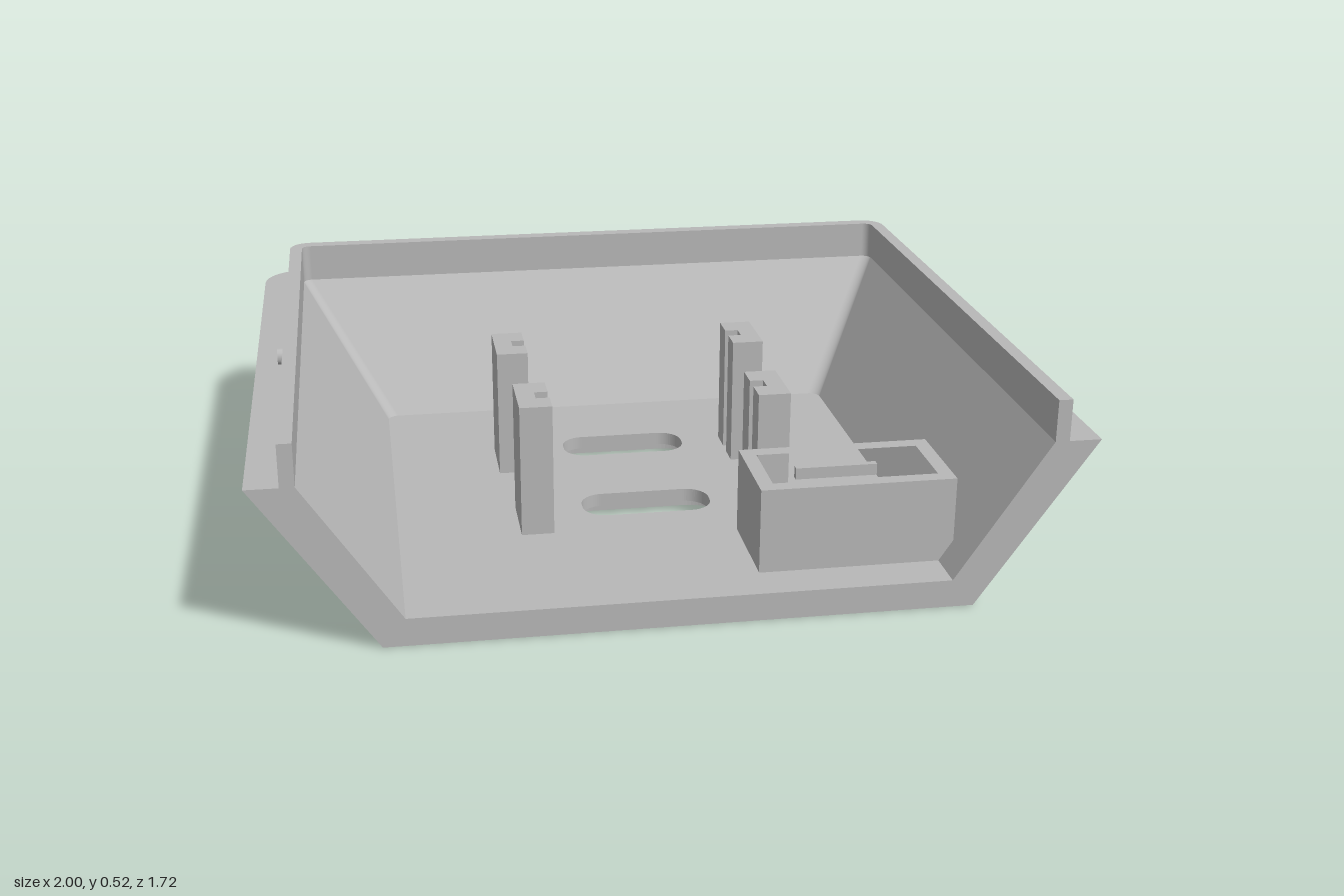
import * as THREE from 'three';

const FRONT = 0.86;
const grey = new THREE.MeshStandardMaterial({ color: 0xb8b8b8 });
grey.name = 'grey plastic';

// U-shaped plan outline, open to the front, with rounded back corners
function outline(w, back, r) {
  const half = [[w, FRONT]];
  for (let i = 0; i <= 8; i++) {
    const a = (i / 8) * Math.PI / 2;
    half.push([w - r + r * Math.cos(a), back + r - r * Math.sin(a)]);
  }
  return half.concat(half.slice().reverse().map(([x, z]) => [-x, z]));
}

// One smooth strip of wall between two outlines
function strip(a, b) {
  const la = outline(a.w, a.back, a.r), lb = outline(b.w, b.back, b.r);
  const pos = [], index = [];
  la.forEach(([x, z], i) => {
    pos.push(x, a.y, z, lb[i][0], b.y, lb[i][1]);
    if (i < la.length - 1) {
      const k = i * 2;
      index.push(k, k + 2, k + 1, k + 2, k + 3, k + 1);
    }
  });
  const g = new THREE.BufferGeometry();
  g.setAttribute('position', new THREE.Float32BufferAttribute(pos, 3));
  g.setIndex(index);
  g.computeVertexNormals();
  return g;
}

// Rounded rectangle centred on (cx, cy)
function roundRect(cx, cy, w, h, r, Type = THREE.Path) {
  const p = new Type(), x = w / 2 - r, y = h / 2 - r, q = Math.PI / 2;
  p.absarc(cx + x, cy + y, r, 0, q);
  p.absarc(cx - x, cy + y, r, q, 2 * q);
  p.absarc(cx - x, cy - y, r, 2 * q, 3 * q);
  p.absarc(cx + x, cy - y, r, 3 * q, 4 * q);
  p.closePath();
  return p;
}

// Plan shape (points as x, z) raised from y0 to y1
function raise(shape, y0, y1) {
  const g = new THREE.ExtrudeGeometry(shape, { depth: y1 - y0, bevelEnabled: false, curveSegments: 8 });
  return g.rotateX(-Math.PI / 2).translate(0, y0, 0);
}
const plan = (pts) => new THREE.Shape(pts.map(([x, z]) => new THREE.Vector2(x, -z)));

export function createModel() {
  const model = new THREE.Group();
  model.name = 'wallBoxTray';
  const add = (name, geometry, parent = model) => {
    const m = new THREE.Mesh(geometry, grey);
    m.name = name;
    parent.add(m);
    return m;
  };

  // Sloping wall with stepped lip, as a closed section carried round the outline
  const section = [
    { w: 0.71, back: -0.5, r: 0.07, y: 0 },
    { w: 1, back: -0.86, r: 0.12, y: 0.415 },
    { w: 0.92, back: -0.79, r: 0.06, y: 0.415 },
    { w: 0.92, back: -0.79, r: 0.06, y: 0.52 },
    { w: 0.885, back: -0.75, r: 0.025, y: 0.52 },
    { w: 0.885, back: -0.75, r: 0.025, y: 0.415 },
    { w: 0.655, back: -0.455, r: 0.03, y: 0.07 },
    { w: 0.655, back: -0.455, r: 0.03, y: 0 },
  ];
  const walls = new THREE.Group();
  walls.name = 'walls';
  model.add(walls);
  section.forEach((s, i) => {
    if (i < section.length) add('wallFace', strip(s, section[(i + 1) % section.length]), walls);
  });
  for (const side of [1, -1]) {
    const end = new THREE.Shape(section.map((s) => new THREE.Vector2(side * s.w, s.y)));
    add('wallEnd', new THREE.ShapeGeometry(end).translate(0, 0, FRONT), walls);
  }

  // Floor in two layers: wide recesses and vent grooves below, through slots above
  const floorPlan = outline(0.655, -0.455, 0.03);
  const lower = plan(floorPlan), upper = plan(floorPlan);
  for (const z of [-0.13, 0.285]) {
    lower.holes.push(roundRect(0, -z, 0.45, 0.24, 0.1));
    upper.holes.push(roundRect(0, -z, 0.34, 0.14, 0.06));
  }
  lower.holes.push(roundRect(0.45, -0.615, 0.36, 0.22, 0.06));
  upper.holes.push(roundRect(0.45, -0.615, 0.24, 0.125, 0.025));
  for (let i = 0; i < 4; i++) {
    lower.holes.push(roundRect(-0.43, 0.34 - i * 0.105, 0.36, 0.032, 0.015));
  }
  add('floorUnderside', raise(lower, 0, 0.035));
  add('floor', raise(upper, 0.035, 0.07));

  // Four notched board posts, notches facing the middle
  for (const [x, z] of [[0.282, -0.145], [0.262, 0.267]]) {
    for (const side of [1, -1]) {
      const pts = [
        [0, 0], [0.083, 0], [0.083, 0.177], [0, 0.177], [0, 0.113],
        [0.035, 0.113], [0.035, 0.07], [0, 0.07],
      ].map(([px, pz]) => [side * (x + px), z + pz]);
      add('boardPost', raise(plan(pts), 0.065, 0.415));
    }
  }

  // Socket box with small snap ridges inside
  const box = new THREE.Group();
  box.name = 'socketBox';
  model.add(box);
  const frame = plan([[0.203, 0.488], [0.69, 0.488], [0.69, 0.748], [0.203, 0.748]]);
  frame.holes.push(plan([[0.24, 0.528], [0.653, 0.528], [0.653, 0.71], [0.24, 0.71]]));
  add('socketFrame', raise(frame, 0.065, 0.287), box);
  for (const z of [0.533, 0.703]) {
    add('snapRidge', new THREE.BoxGeometry(0.21, 0.03, 0.018).translate(0.445, 0.235, z), box);
  }

  // Rounded snap bumps on the outside of the lip
  const bump = () => new THREE.ExtrudeGeometry(
    roundRect(0, 0, 0.274, 0.042, 0.02, THREE.Shape), { depth: 0.03, bevelEnabled: false });
  for (const side of [1, -1]) {
    add('sideBump', bump().rotateY(side * Math.PI / 2).translate(side * 0.908, 0.47, 0));
  }
  add('backBump', bump().rotateY(Math.PI).translate(0, 0.47, -0.773));

  return model;
}
